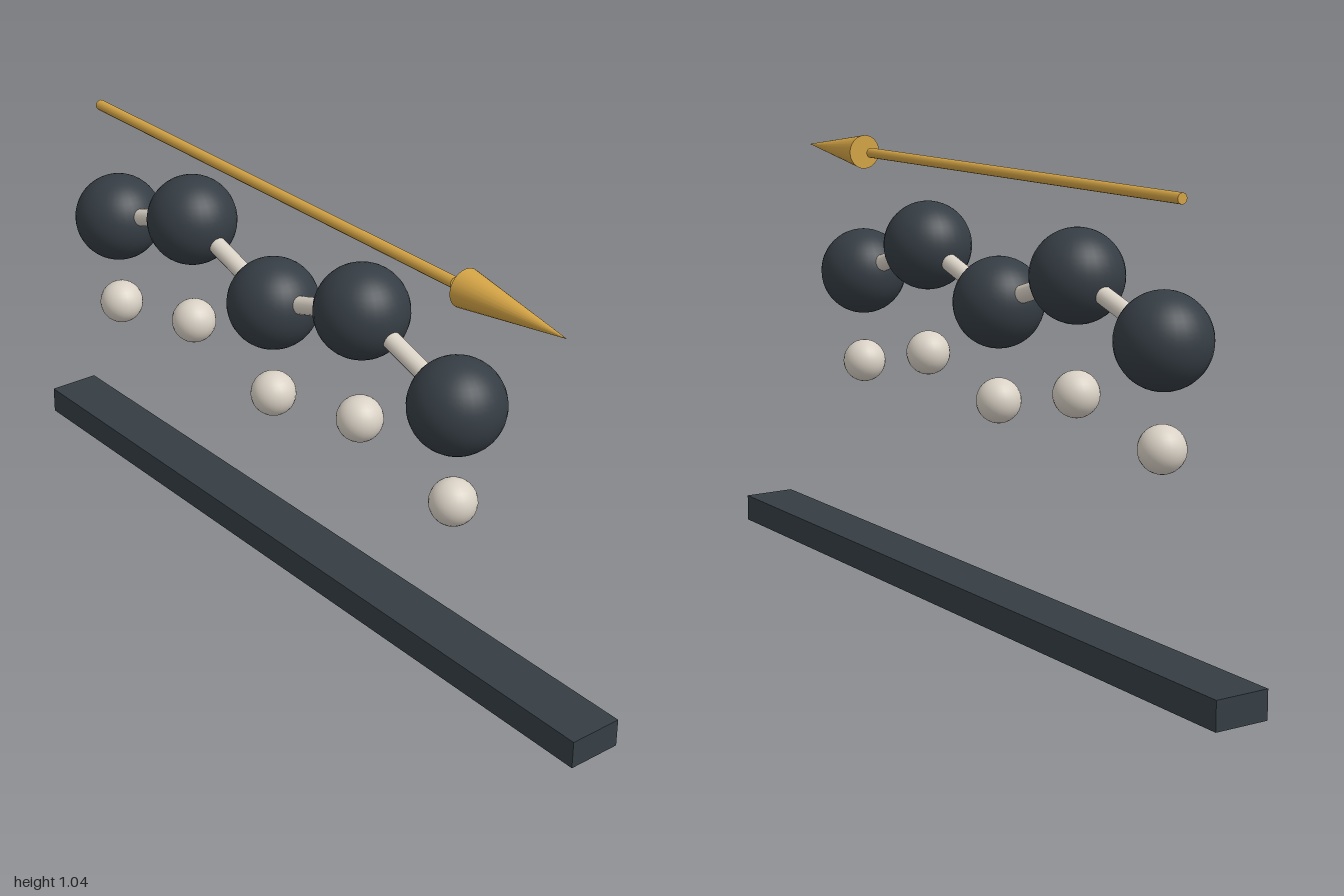
import * as THREE from 'three';

export function createModel() {
  const group = new THREE.Group();
  const material = (name, color) => {
    const m = new THREE.MeshStandardMaterial({ color });
    m.name = name;
    return m;
  };
  const slate = material('dark slate', 0x353d44);
  const ivory = material('ivory', 0xd9d1c5);
  const gold = material('gold', 0xd3a345);

  const add = (name, geometry, mat, x, y, z) => {
    const mesh = new THREE.Mesh(geometry, mat);
    mesh.name = name;
    mesh.position.set(x, y, z);
    group.add(mesh);
    return mesh;
  };

  // Base bar, set slightly behind the chain
  add('baseBar', new THREE.BoxGeometry(2, 0.066, 0.13), slate, 0, 0.033, -0.061);

  // Zigzag chain of large balls, each with a small ball below
  const chainZ = 0.022;
  const bigBall = new THREE.SphereGeometry(0.106, 32, 24);
  const smallBall = new THREE.SphereGeometry(0.053, 24, 16);
  const centres = [];
  for (let i = 0; i < 5; i++) {
    const x = (i - 2) * 0.311;
    const high = i % 2 === 1;
    centres.push(new THREE.Vector3(x, high ? 0.803 : 0.705, chainZ));
    add('chainBall' + (i + 1), bigBall, slate, x, centres[i].y, chainZ);
    add('hangingBall' + (i + 1), smallBall, ivory, x, high ? 0.542 : 0.476, chainZ);
  }

  // Rods joining neighbouring large balls
  const up = new THREE.Vector3(0, 1, 0);
  for (let i = 0; i < 4; i++) {
    const span = centres[i + 1].clone().sub(centres[i]);
    const mid = centres[i].clone().add(centres[i + 1]).multiplyScalar(0.5);
    const rod = add('linkRod' + (i + 1),
      new THREE.CylinderGeometry(0.021, 0.021, span.length(), 16), ivory, mid.x, mid.y, mid.z);
    rod.quaternion.setFromUnitVectors(up, span.normalize());
  }

  // Arrow above the chain: shaft, small gap, pointed head toward +x
  const shaft = add('arrowShaft',
    new THREE.CylinderGeometry(0.0125, 0.0125, 1.272, 12), gold, 0, 0.998, 0.054);
  const head = add('arrowHead',
    new THREE.ConeGeometry(0.042, 0.288, 24), gold, 0.811, 0.998, 0.054);
  shaft.rotation.z = head.rotation.z = -Math.PI / 2;

  return group;
}
